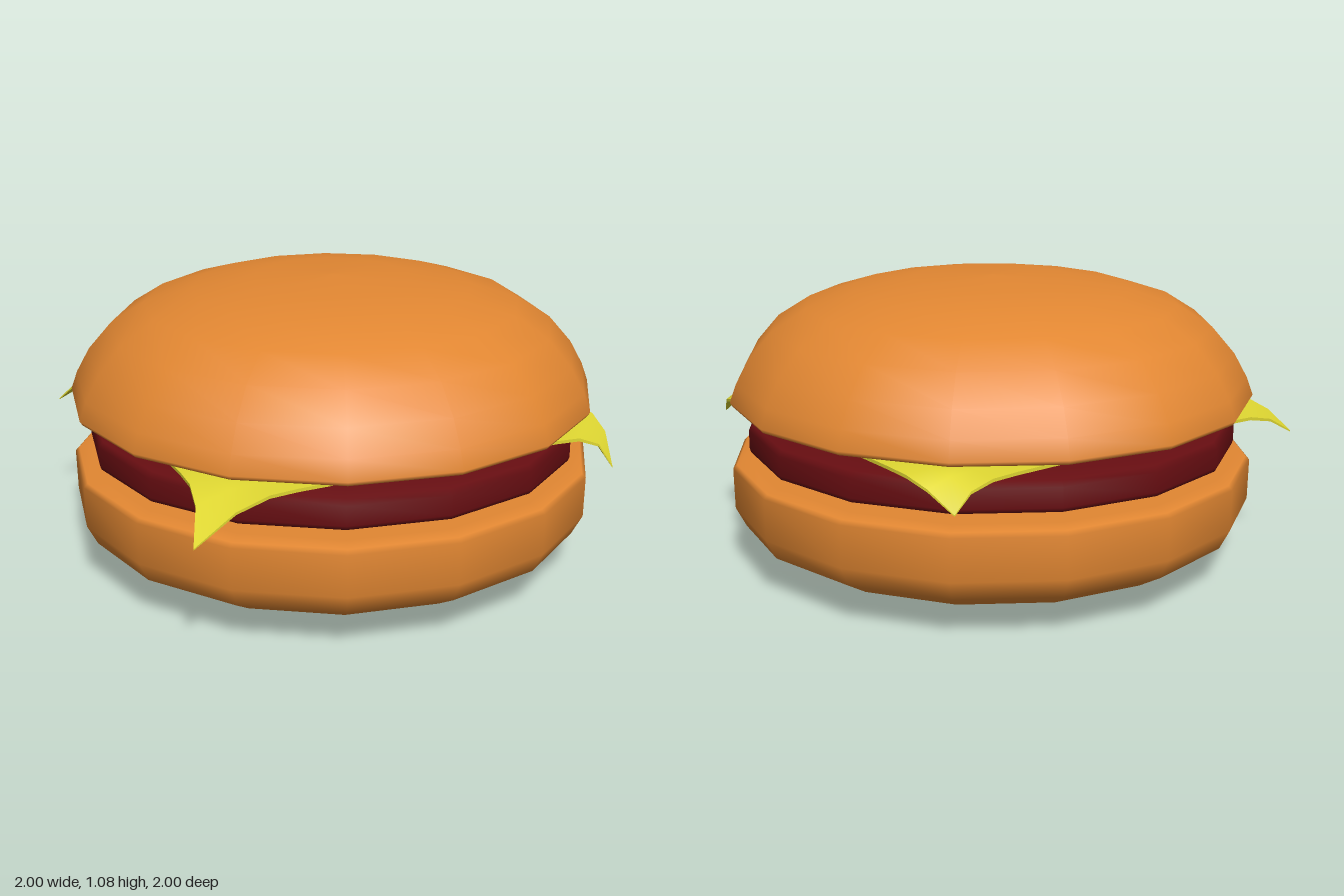
import * as THREE from 'three';

const bunMat = new THREE.MeshStandardMaterial({ color: 0xe28732 });
bunMat.name = 'toasted bun';
const pattyMat = new THREE.MeshStandardMaterial({ color: 0x660d11 });
pattyMat.name = 'dark meat';
const cheeseMat = new THREE.MeshStandardMaterial({ color: 0xe0d832 });
cheeseMat.name = 'yellow cheese';

// Sixteen-sided turned part; profile runs from bottom centre to top centre
function turned(name, profile, material) {
  const points = profile.map(([r, y]) => new THREE.Vector2(r, y));
  const mesh = new THREE.Mesh(new THREE.LatheGeometry(points, 16), material);
  mesh.name = name;
  return mesh;
}

// Square slice whose four corners droop and drift the same way
function cheeseSlice() {
  const geo = new THREE.BoxGeometry(1.6, 0.012, 1.6, 16, 1, 16);
  const p = geo.attributes.position;
  for (let i = 0; i < p.count; i++) {
    const x = p.getX(i), z = p.getZ(i);
    const t = Math.max(0, (Math.abs(x) + Math.abs(z) - 1.3) / 0.3) ** 3;
    p.setXYZ(i, x - 0.085 * t, p.getY(i) * (1 - 0.6 * t) + 0.59 - 0.113 * t, z + 0.05 * t);
  }
  geo.computeVertexNormals();
  const mesh = new THREE.Mesh(geo, cheeseMat);
  mesh.name = 'cheeseSlice';
  return mesh;
}

export function createModel() {
  const group = new THREE.Group();
  group.name = 'burger';

  group.add(turned('bottomBun', [
    [0, 0], [0.36, 0.012], [0.66, 0.042], [0.86, 0.095], [0.96, 0.155],
    [0.998, 0.23], [1, 0.385], [0.985, 0.4], [0.93, 0.408], [0, 0.41],
  ], bunMat));

  group.add(turned('patty', [
    [0, 0.408], [0.66, 0.411], [0.86, 0.423], [0.93, 0.445], [0.935, 0.46],
    [0.935, 0.53], [0.92, 0.552], [0.8, 0.574], [0, 0.58],
  ], pattyMat));

  group.add(cheeseSlice());

  group.add(turned('topBun', [
    [0, 0.608], [0.65, 0.611], [0.92, 0.618], [0.99, 0.626], [1, 0.642],
    [0.975, 0.71], [0.925, 0.8], [0.838, 0.9], [0.71, 0.98],
    [0.53, 1.035], [0.3, 1.07], [0, 1.08],
  ], bunMat));

  return group;
}
